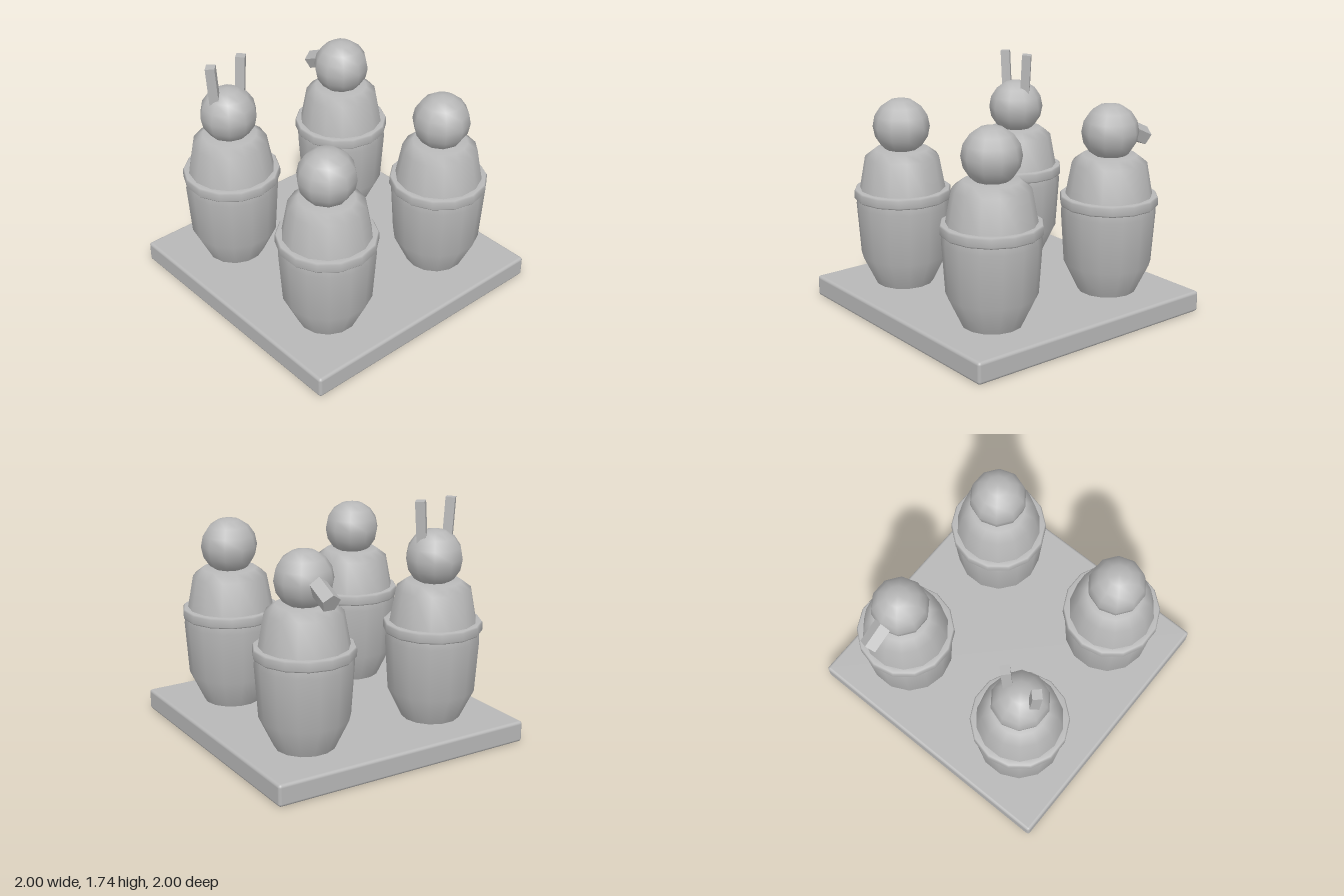
import * as THREE from 'three';
import { RoundedBoxGeometry } from 'three/addons/geometries/RoundedBoxGeometry.js';
import { toCreasedNormals } from 'three/addons/utils/BufferGeometryUtils.js';

const stone = new THREE.MeshStandardMaterial({ color: 0xb8b8b8 });
stone.name = 'stone grey';

function addPart(parent, name, geometry, x = 0, y = 0, z = 0) {
  const mesh = new THREE.Mesh(geometry, stone);
  mesh.name = name;
  mesh.position.set(x, y, z);
  parent.add(mesh);
  return mesh;
}

// Fourteen-sided turned shape from [radius, height] pairs
function turned(profile, turn = 0) {
  const points = profile.map(([r, y]) => new THREE.Vector2(r, y));
  return new THREE.LatheGeometry(points, 14).rotateY(turn);
}

function makeJar(name, x, z) {
  const jar = new THREE.Group();
  jar.name = name;
  jar.position.set(x, 0, z);
  const quarter = Math.PI / 2;
  // Tapered vessel
  addPart(jar, 'body', turned([[0.205, 0.14], [0.315, 0.37], [0.34, 0.75], [0.325, 0.83]], quarter));
  // Collar where the lid meets the vessel
  addPart(jar, 'rim', turned([[0.3, 0.797], [0.343, 0.797], [0.352, 0.808], [0.352, 0.86], [0.343, 0.872], [0.3, 0.872]]));
  // Sloping shoulders
  addPart(jar, 'shoulders', turned([[0.318, 0.83], [0.267, 1.105], [0.195, 1.16], [0, 1.16]], quarter));
  addPart(jar, 'head', new THREE.SphereGeometry(0.205, 10, 8).rotateY(quarter), 0, 1.325, 0);
  return jar;
}

export function createModel() {
  const model = new THREE.Group();
  model.name = 'jarSet';

  // Square plinth
  addPart(model, 'base', new RoundedBoxGeometry(2, 0.155, 2, 3, 0.022), 0, 0.0775, 0);

  const d = 0.528;
  const earedJar = makeJar('earedJar', -d, -d);
  const snoutJar = makeJar('snoutJar', d, -d);
  model.add(earedJar, snoutJar, makeJar('frontRightJar', -d, d), makeJar('frontLeftJar', d, d));

  // Upright, slightly splayed ears
  for (const side of [-1, 1]) {
    const geometry = toCreasedNormals(new THREE.CylinderGeometry(0.047, 0.047, 0.36, 4), 0.6);
    const ear = addPart(earedJar, 'ear', geometry, side * 0.117, 1.56, 0);
    ear.rotation.z = -side * 0.07;
  }

  // Five-sided snout pointing back and down
  const snoutGeometry = toCreasedNormals(new THREE.CylinderGeometry(0.07, 0.07, 0.3, 5), 0.6);
  const snout = addPart(snoutJar, 'snout', snoutGeometry, 0, 1.306, -0.2);
  snout.rotation.x = -Math.PI / 2 - 0.44;

  return model;
}
